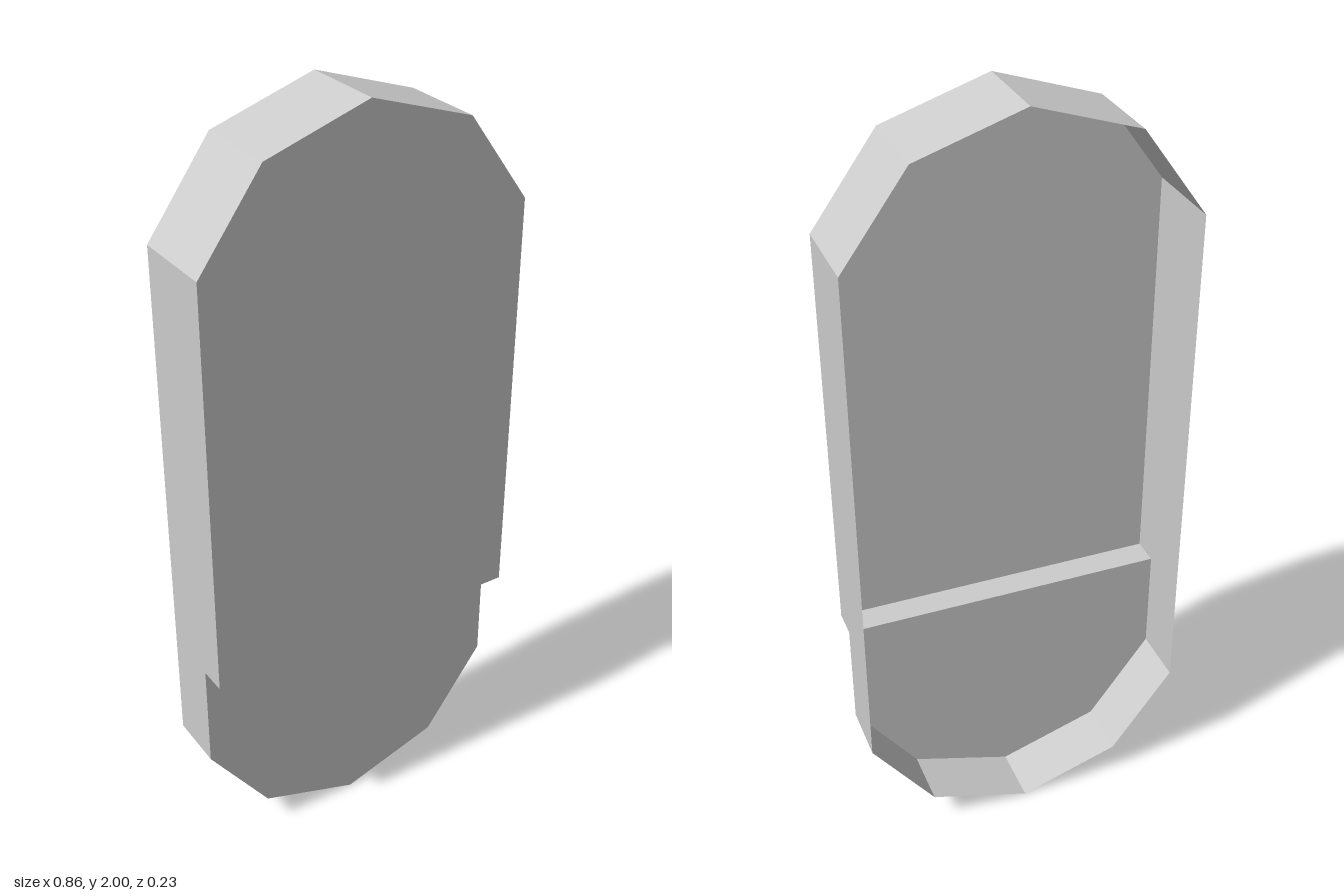
import * as THREE from 'three';

const R = 0.452;                 // radius of the ten-sided end caps
const HALF = R * Math.sin(Math.PI * 0.4);
const STEP_Y = 0.6;              // height where the front steps back
const BACK = -0.114, UPPER = 0.114, LOWER = 0.04;

export function createModel() {
  const shell = new THREE.MeshStandardMaterial({ color: 0xcccccc, side: THREE.DoubleSide, flatShading: true });
  shell.name = 'lightGrey';

  const group = new THREE.Group();
  group.name = 'openShell';
  const add = (name, geometry) => {
    const mesh = new THREE.Mesh(geometry, shell);
    mesh.name = name;
    group.add(mesh);
  };

  // Half outline, counter-clockwise: five facet corners plus the ends at the step
  const outline = (sign) => {
    const cy = sign > 0 ? 2 - R : R;
    const points = [new THREE.Vector2(sign * HALF, STEP_Y)];
    for (let i = -2; i <= 2; i++) {
      const a = i * Math.PI / 5;
      points.push(new THREE.Vector2(-sign * R * Math.sin(a), cy + sign * R * Math.cos(a)));
    }
    points.push(new THREE.Vector2(-sign * HALF, STEP_Y));
    return points;
  };

  // Flat quads along a path, from z0 to z1, facing outwards
  const wall = (points, z0, z1) => {
    const v = [];
    for (let i = 0; i < points.length - 1; i++) {
      const a = points[i], b = points[i + 1];
      v.push(a.x, a.y, z0, b.x, b.y, z0, b.x, b.y, z1);
      v.push(a.x, a.y, z0, b.x, b.y, z1, a.x, a.y, z1);
    }
    const g = new THREE.BufferGeometry();
    g.setAttribute('position', new THREE.Float32BufferAttribute(v, 3));
    g.computeVertexNormals();
    return g;
  };

  // Front plate and rim of each half; the back stays open
  for (const [name, sign, front] of [['upper', 1, UPPER], ['lower', -1, LOWER]]) {
    const points = outline(sign);
    add(name + 'FrontPlate', new THREE.ShapeGeometry(new THREE.Shape(points)).translate(0, 0, front));
    add(name + 'Rim', wall(points, BACK, front));
  }

  // Downward-facing ledge joining the two plates
  add('stepLedge', wall([new THREE.Vector2(-HALF, STEP_Y), new THREE.Vector2(HALF, STEP_Y)], LOWER, UPPER));

  return group;
}
